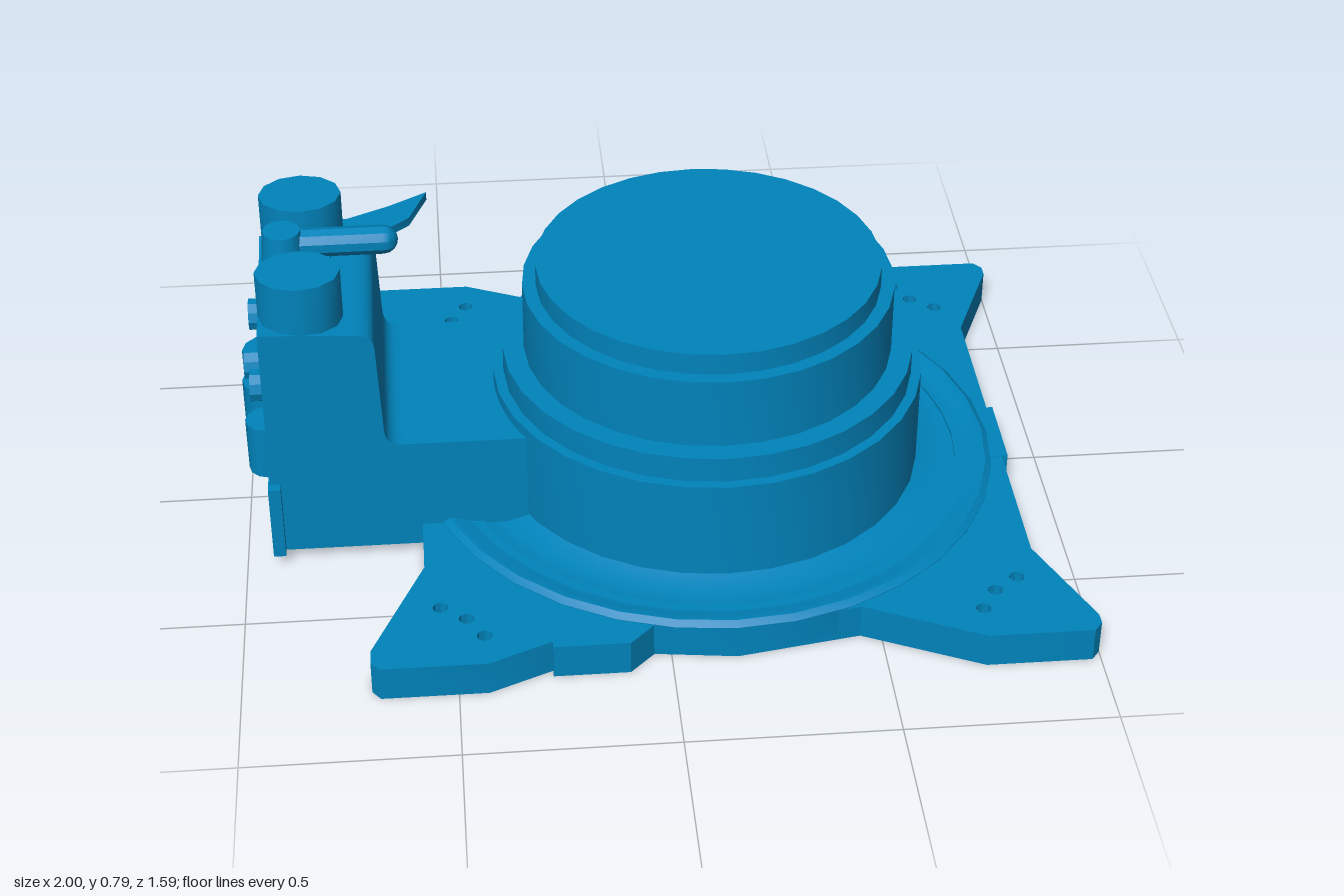
import * as THREE from 'three';
import { toCreasedNormals } from 'three/addons/utils/BufferGeometryUtils.js';

export function createModel() {
  const model = new THREE.Group();
  model.name = 'pumpHousing';
  const material = new THREE.MeshStandardMaterial({ color: 0x0083bb, side: THREE.DoubleSide });
  const CX = 0.15; // dome axis

  const add = (name, geometry, x = 0, y = 0, z = 0) => {
    const mesh = new THREE.Mesh(toCreasedNormals(geometry, 0.6), material);
    mesh.name = name;
    mesh.position.set(x, y, z);
    model.add(mesh);
  };
  const box = (name, x0, x1, y0, y1, z0, z1) =>
    add(name, new THREE.BoxGeometry(x1 - x0, y1 - y0, z1 - z0), (x0 + x1) / 2, (y0 + y1) / 2, (z0 + z1) / 2);
  const vec = (list) => list.map(([a, b]) => new THREE.Vector2(a, b));
  const circle = (x, y, r, n) => new THREE.Path(
    Array.from({ length: n }, (_, i) => {
      const a = (i / n) * Math.PI * 2;
      return new THREE.Vector2(x + r * Math.cos(a), y + r * Math.sin(a));
    }));
  // Extrudes a plan shape (x, -z) upward
  const slab = (shape, depth) =>
    new THREE.ExtrudeGeometry(shape, { depth, bevelEnabled: false, curveSegments: 10 }).rotateX(-Math.PI / 2);

  // Base plate with four splayed feet
  const plate = new THREE.Shape(vec([
    [-0.7, -0.77], [-0.68, -0.795], [-0.43, -0.795], [-0.28, -0.73], [-0.28, -0.75], [-0.1, -0.75],
    [-0.04, -0.69], [0.155, -0.715], [0.45, -0.665], [0.73, -0.795], [0.98, -0.795], [1, -0.77], [1, -0.74],
    [0.89, -0.48], [0.89, 0.48], [1, 0.74], [1, 0.77], [0.98, 0.795], [0.73, 0.795], [0.46, 0.67],
    [0.155, 0.72], [-0.15, 0.67], [-0.43, 0.795], [-0.68, 0.795], [-0.7, 0.77], [-0.7, 0.73],
    [-0.57, 0.43], [-0.57, -0.43], [-0.7, -0.73],
  ]));
  plate.holes.push(circle(CX, 0, 0.63, 40));
  for (const sx of [-1, 1]) for (const sz of [-1, 1])
    for (const [dx, dz] of [[0.585, 0.695], [0.625, 0.63], [0.685, 0.585]])
      plate.holes.push(circle(CX + sx * dx, sz * dz, 0.019, 8));
  add('basePlate', slab(plate, 0.088));
  box('edgeTab', 0.85, 0.905, 0, 0.09, -0.105, 0.105);

  // Thin hollow dome: dished flange, then stepped drum and flat cap
  const profile = vec([
    [0.63, 0.02], [0.72, 0.02], [0.72, 0.09], [0.705, 0.102], [0.685, 0.1], [0.64, 0.082], [0.58, 0.082],
    [0.53, 0.1], [0.53, 0.355], [0.505, 0.355], [0.505, 0.42],
    [0.453, 0.42], [0.453, 0.6], [0.42, 0.6], [0.42, 0.655], [0, 0.655],
  ]);
  add('steppedDome', new THREE.LatheGeometry(profile, 32), CX);

  // Side arm, its inner end curved to meet the drum
  const arm = new THREE.Shape();
  const reach = Math.asin(0.26 / 0.53);
  arm.moveTo(-0.66, 0.26);
  arm.lineTo(-0.66, -0.26);
  arm.lineTo(CX - 0.53 * Math.cos(reach), -0.26);
  arm.absarc(CX, 0, 0.53, Math.PI + reach, Math.PI - reach, true);
  add('sideArm', slab(arm, 0.3), 0, 0.03, 0);

  // Valve tower, filleted onto the arm
  const tower = new THREE.Shape();
  tower.moveTo(-0.93, 0.03);
  tower.lineTo(-0.65, 0.03);
  tower.lineTo(-0.61, 0.33);
  tower.quadraticCurveTo(-0.65, 0.33, -0.65, 0.38);
  tower.lineTo(-0.66, 0.61);
  tower.quadraticCurveTo(-0.66, 0.65, -0.72, 0.65);
  tower.lineTo(-0.93, 0.66);
  add('valveTower', new THREE.ExtrudeGeometry(tower, { depth: 0.52, bevelEnabled: false, curveSegments: 6 }), 0, 0, -0.26);
  box('mountingFlange', -0.935, -0.905, 0.03, 0.23, -0.285, 0.285);

  // Paired rounded posts on the tower
  for (const side of [-1, 1])
    add('towerPost', new THREE.CylinderGeometry(0.086, 0.086, 0.16, 12).scale(1.16, 1, 1), -0.83, 0.7, side * 0.174);

  // Sloped saddle between the posts
  const saddle = new THREE.Shape(vec([[-0.1, 0.64], [0.1, 0.64], [0.1, 0.71], [0.05, 0.69], [-0.05, 0.69], [-0.1, 0.71]]));
  add('saddle', new THREE.ExtrudeGeometry(saddle, { depth: 0.17, bevelEnabled: false }).rotateY(Math.PI / 2), -0.93);

  // Central valve stem with its handle
  add('valveStem', new THREE.CylinderGeometry(0.045, 0.055, 0.12, 12), -0.87, 0.725, 0);
  add('valveHandle', new THREE.CapsuleGeometry(0.035, 0.23, 4, 10).rotateZ(Math.PI / 2), -0.745, 0.742, -0.01);

  // Tapered lever pointing to the back
  const lever = new THREE.Shape(vec([[-0.74, 0.14], [-0.66, 0.16], [-0.57, 0.24], [-0.525, 0.36], [-0.62, 0.3], [-0.74, 0.24]]));
  add('taperedLever', slab(lever, 0.022), 0, 0.635, 0);

  // Fittings on the outer face of the tower: [z, low y, high y, radius]
  for (const [z, y0, y1, r] of [[-0.13, 0.16, 0.36, 0.065], [0, 0.17, 0.36, 0.06], [0.14, 0.2, 0.34, 0.05]])
    add('sideCapsule', new THREE.CylinderGeometry(r, r, y1 - y0, 12), -0.935, (y0 + y1) / 2, z);
  for (const [z, y, r, len] of [[0, 0.41, 0.04, 0.055], [-0.14, 0.46, 0.04, 0.045], [0.14, 0.44, 0.04, 0.035]])
    add('sideKnob', new THREE.CylinderGeometry(r, r, len, 10).rotateZ(Math.PI / 2), -0.93 - len / 2, y, z);
  return model;
}
